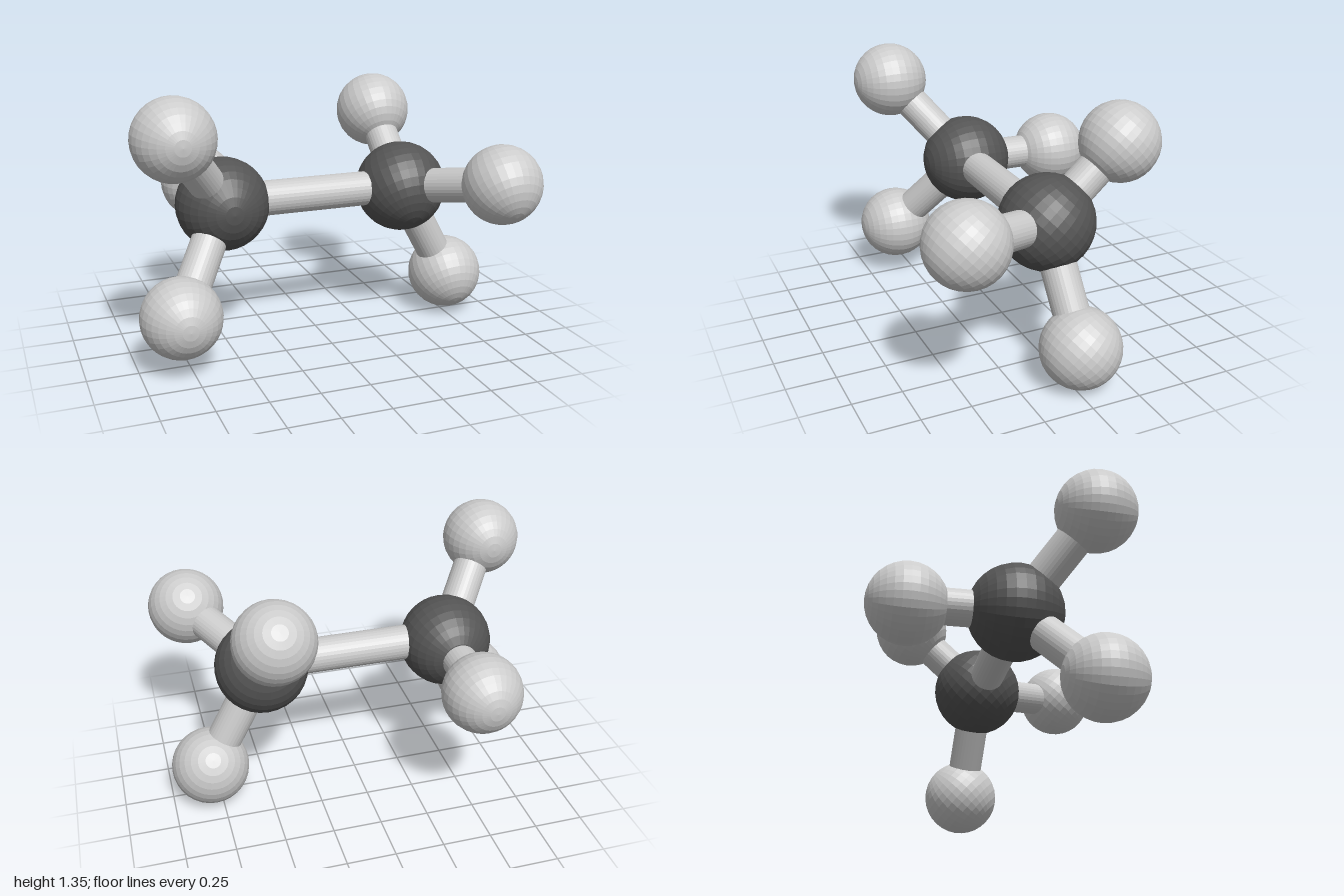
import * as THREE from 'three';

const CORE_R = 0.238, BALL_R = 0.2, ROD_R = 0.09;

export function createModel() {
  const group = new THREE.Group();
  const light = new THREE.MeshStandardMaterial({ color: 0xcccccc, flatShading: true });
  const dark = new THREE.MeshStandardMaterial({ color: 0x555555, flatShading: true });

  // sphere whose poles lie along z, turned about x by tilt
  function addBall(name, centre, radius, material, tilt) {
    const mesh = new THREE.Mesh(new THREE.SphereGeometry(radius, 32, 16), material);
    mesh.name = name;
    mesh.position.copy(centre);
    mesh.rotation.x = Math.PI / 2 + tilt;
    group.add(mesh);
  }

  // straight rod between two points
  function addRod(name, a, b) {
    const dir = b.clone().sub(a);
    const mesh = new THREE.Mesh(new THREE.CylinderGeometry(ROD_R, ROD_R, dir.length(), 32), light);
    mesh.name = name;
    mesh.position.copy(a).add(b).multiplyScalar(0.5);
    mesh.quaternion.setFromUnitVectors(new THREE.Vector3(0, 1, 0), dir.normalize());
    group.add(mesh);
  }

  // two clusters: a dark core with three outer balls on rods
  const clusters = [
    {
      side: 'right', core: [-0.495, 0.735, -0.008], tilt: 0,
      balls: [[-0.8, 1.153, 0.318], [-0.797, 0.29, 0.323], [-0.495, 0.725, -0.53]],
    },
    {
      side: 'left', core: [0.49, 0.737, -0.008], tilt: 0.73,
      balls: [[0.79, 0.849, 0.53], [0.49, 1.086, -0.395], [0.793, 0.203, -0.043]],
    },
  ];
  for (const { side, core, tilt, balls } of clusters) {
    const c = new THREE.Vector3(...core);
    addBall(side + 'CoreAtom', c, CORE_R, dark, tilt);
    balls.forEach((p, i) => {
      const b = new THREE.Vector3(...p);
      addBall(`${side}OuterAtom${i + 1}`, b, BALL_R, light, tilt);
      addRod(`${side}Bond${i + 1}`, c, b);
    });
  }

  // central rod joining the cores
  addRod('centralBond', new THREE.Vector3(-0.45, 0.747, 0.008), new THREE.Vector3(0.45, 0.747, 0.008));
  return group;
}
